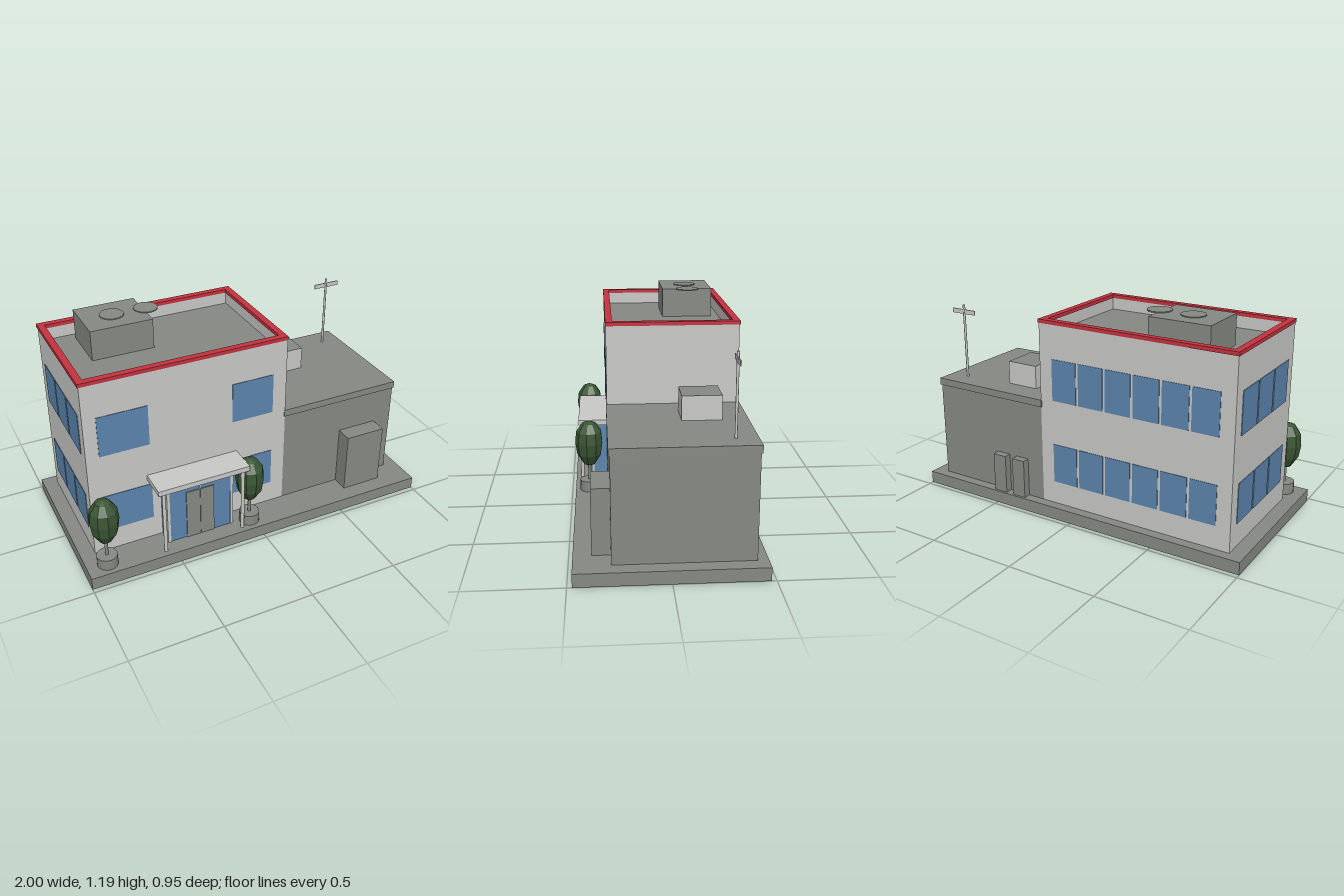
import * as THREE from 'three';

const mat = (name, color, side = THREE.FrontSide) => {
  const m = new THREE.MeshStandardMaterial({ color, side });
  m.name = name;
  return m;
};

export function createModel() {
  const model = new THREE.Group();
  model.name = 'officeBuilding';

  const concrete = mat('concreteGrey', 0x868982);
  const shell = mat('concreteShell', 0x868982, THREE.DoubleSide);
  const wall = mat('wallLightGrey', 0xc8c9c6);
  const glass = mat('windowBlue', 0x5b84ad);
  const red = mat('trimRed', 0xc2323e);
  const leaf = mat('leafGreen', 0x3a5534);
  leaf.flatShading = true;

  const add = (name, geometry, material, parent = model) => {
    const mesh = new THREE.Mesh(geometry, material);
    mesh.name = name;
    parent.add(mesh);
    return mesh;
  };
  // Box given by its extents on each axis
  const box = (name, material, [x0, x1], [y0, y1], [z0, z1], parent) => {
    const g = new THREE.BoxGeometry(x1 - x0, y1 - y0, z1 - z0);
    g.translate((x0 + x1) / 2, (y0 + y1) / 2, (z0 + z1) / 2);
    return add(name, g, material, parent);
  };
  const cylinder = (name, material, r, y0, y1, x, z, sides, parent) =>
    add(name, new THREE.CylinderGeometry(r, r, y1 - y0, sides), material, parent)
      .position.set(x, (y0 + y1) / 2, z);
  // Rectangular frame lying flat, with walls of thickness t
  const ring = (name, material, [x0, x1], [y0, y1], [z0, z1], t) => {
    const corners = (d) => [[x0 + d, -z1 + d], [x1 - d, -z1 + d], [x1 - d, -z0 - d], [x0 + d, -z0 - d]]
      .map(([x, y]) => new THREE.Vector2(x, y));
    const shape = new THREE.Shape(corners(0));
    shape.holes.push(new THREE.Path(corners(t).reverse()));
    const g = new THREE.ExtrudeGeometry(shape, { depth: y1 - y0, bevelEnabled: false });
    g.rotateX(-Math.PI / 2).translate(0, y0, 0);
    return add(name, g, material);
  };
  const greyTop = [wall, wall, concrete, wall, wall, wall];

  // Base slab, hollow underneath
  const base = new THREE.BoxGeometry(2, 0.07, 0.95).translate(0, 0.035, 0);
  const open = base.groups.filter((g) => g.materialIndex !== 3);
  base.clearGroups();
  open.forEach((g) => base.addGroup(g.start, g.count, 0));
  add('baseSlab', base, [shell]);

  // Main block with sunken roof deck, parapet and red trim
  box('mainBlock', greyTop, [-0.92, 0.21], [0.07, 1.02], [-0.42, 0.29]);
  ring('parapet', wall, [-0.92, 0.21], [1.02, 1.087], [-0.42, 0.29], 0.03);
  ring('roofTrim', red, [-0.925, 0.212], [1.087, 1.107], [-0.425, 0.292], 0.037);

  // Rooftop plant with two vent discs
  box('rooftopUnit', concrete, [-0.74, -0.4], [1.02, 1.185], [-0.345, -0.055]);
  for (const x of [-0.575, -0.385]) cylinder('ventDisc', concrete, 0.065, 1.183, 1.19, x, -0.2, 24);

  // Windows on two storeys: front, back and left-hand end wall
  for (const y of [[0.2, 0.42], [0.67, 0.9]]) {
    for (const x of [[-0.85, -0.58], [-0.11, 0.13]]) box('frontWindow', glass, x, y, [0.287, 0.293]);
    for (let i = 0; i < 6; i++) {
      const x = -0.84 + i * 0.1645;
      box('backWindow', glass, [x, x + 0.15], y, [-0.423, -0.417]);
    }
    for (let i = 0; i < 3; i++) {
      const z = -0.35 + i * 0.195;
      box('endWindow', glass, [-0.923, -0.917], y, [z, z + 0.183]);
    }
  }

  // Glazed entrance with double door and canopy
  const entrance = new THREE.Group();
  entrance.name = 'entrance';
  model.add(entrance);
  box('vestibuleGlass', glass, [-0.532, -0.153], [0.07, 0.45], [0.29, 0.378], entrance);
  for (const x of [-0.528, -0.157])
    box('framePost', wall, [x - 0.008, x + 0.008], [0.07, 0.45], [0.366, 0.382], entrance);
  box('mullion', wall, [-0.348, -0.342], [0.37, 0.45], [0.376, 0.382], entrance);
  for (const x of [-0.425, -0.344])
    box('doorLeaf', concrete, [x, x + 0.079], [0.07, 0.37], [0.376, 0.384], entrance);
  box('canopy', wall, [-0.605, -0.085], [0.45, 0.48], [0.285, 0.452], entrance);
  for (const x of [-0.572, -0.118])
    cylinder('canopyPost', wall, 0.01, 0.07, 0.45, x, 0.435, 12, entrance);

  // Low side wing with roof cap and boxes against its walls
  box('sideWing', concrete, [0.21, 0.92], [0.07, 0.62], [-0.42, 0.288]);
  box('wingRoofCap', concrete, [0.205, 0.925], [0.62, 0.66], [-0.427, 0.295]);
  box('frontCabinet', concrete, [0.577, 0.812], [0.07, 0.42], [0.288, 0.383]);
  for (const x of [[0.312, 0.392], [0.44, 0.523]])
    box('backCabinet', concrete, x, [0.07, 0.29], [-0.462, -0.42]);
  box('airConditioner', greyTop, [0.34, 0.525], [0.66, 0.79], [-0.29, -0.083]);

  // Antenna
  cylinder('antennaMast', wall, 0.007, 0.66, 1.083, 0.812, -0.315, 8);
  box('antennaBar', wall, [0.735, 0.893], [1.03, 1.056], [-0.318, -0.312]);

  // Potted trees
  const crown = [[0, 0.225], [0.032, 0.228], [0.07, 0.29], [0.08, 0.36], [0.073, 0.425], [0.04, 0.472], [0, 0.488]]
    .map(([r, y]) => new THREE.Vector2(r, y));
  for (const x of [-0.885, -0.055]) {
    const tree = new THREE.Group();
    tree.name = 'pottedTree';
    tree.position.set(x, 0, 0.393);
    model.add(tree);
    cylinder('pot', concrete, 0.056, 0.07, 0.132, 0, 0, 16, tree);
    cylinder('trunk', concrete, 0.009, 0.13, 0.24, 0, 0, 8, tree);
    add('crown', new THREE.LatheGeometry(crown, 9), leaf, tree);
  }

  return model;
}
